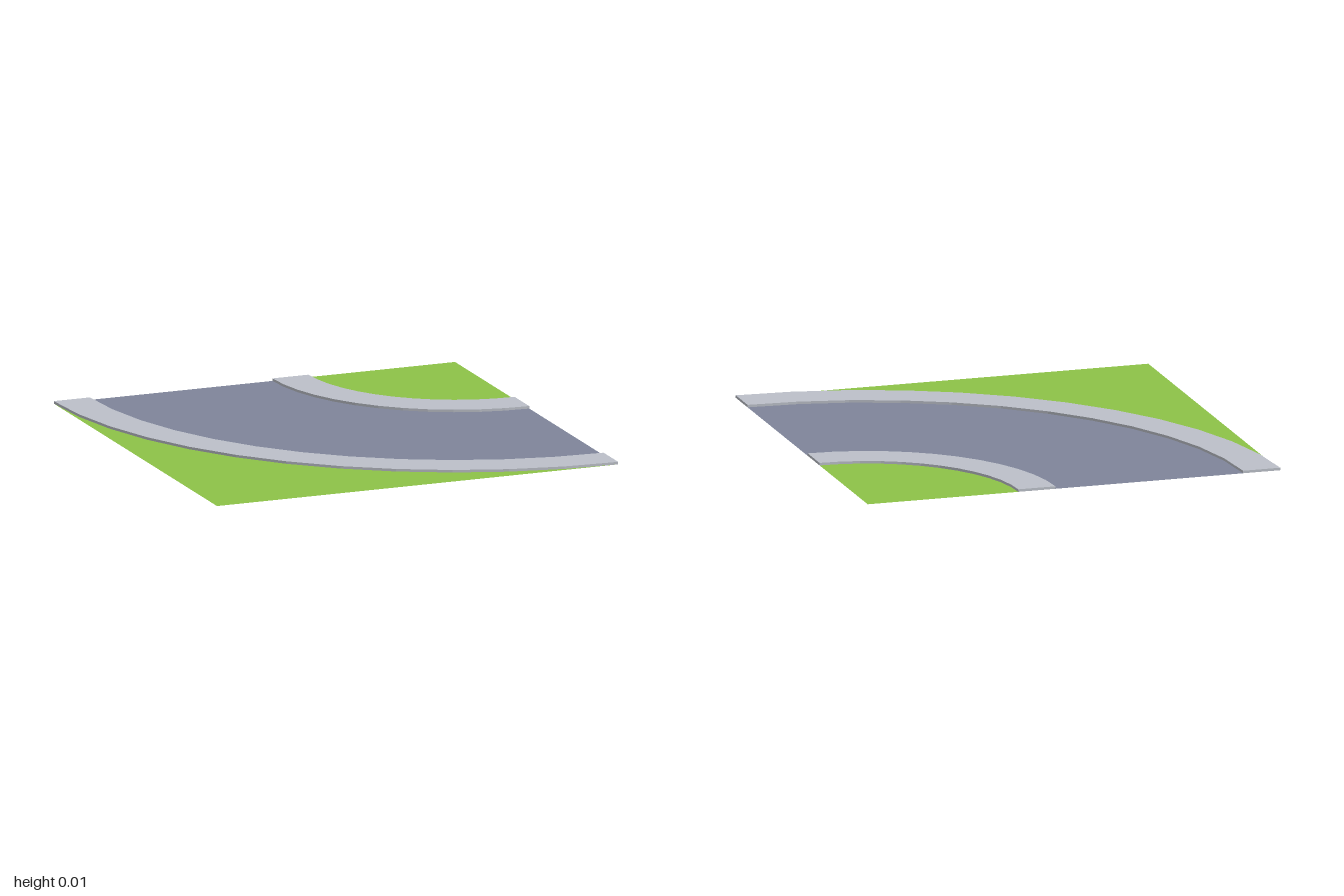
import * as THREE from 'three';

const SEGMENTS = 12;
const KERB_HEIGHT = 0.012;

// Quarter-circle points round the tile corner (plan coordinates: x, -z)
function arc(radius) {
  return Array.from({ length: SEGMENTS + 1 }, (_, i) => {
    const a = Math.PI + (i / SEGMENTS) * Math.PI / 2;
    return new THREE.Vector2(1 + radius * Math.cos(a), 1 + radius * Math.sin(a));
  });
}

// Curved band between two radii
const band = (inner, outer) => new THREE.Shape([...arc(outer), ...arc(inner).reverse()]);

export function createModel() {
  const group = new THREE.Group();
  const material = (name, color, side = THREE.FrontSide) => {
    const m = new THREE.MeshStandardMaterial({ color, side });
    m.name = name;
    return m;
  };
  const grass = material('grass', 0x8dc348, THREE.DoubleSide);
  const asphalt = material('asphalt', 0x7f859a, THREE.DoubleSide);
  const paving = material('paving', 0xbcc0c9);

  // Lay a plan shape on the ground, flat or raised to a height
  function add(name, shape, mat, height = 0) {
    const geometry = height
      ? new THREE.ExtrudeGeometry(shape, { depth: height, bevelEnabled: false })
      : new THREE.ShapeGeometry(shape);
    geometry.rotateX(-Math.PI / 2);
    const mesh = new THREE.Mesh(geometry, mat);
    mesh.name = name;
    group.add(mesh);
  }

  // Ground surfaces
  add('road', band(0.91, 1.82), asphalt);
  add('innerGrass', new THREE.Shape([...arc(0.73), new THREE.Vector2(1, 1)]), grass);
  add('outerGrass', new THREE.Shape([...arc(2), new THREE.Vector2(-1, -1)]), grass);

  // Raised pavements either side of the bend
  add('innerPavement', band(0.73, 0.91), paving, KERB_HEIGHT);
  add('outerPavement', band(1.82, 2), paving, KERB_HEIGHT);

  return group;
}
